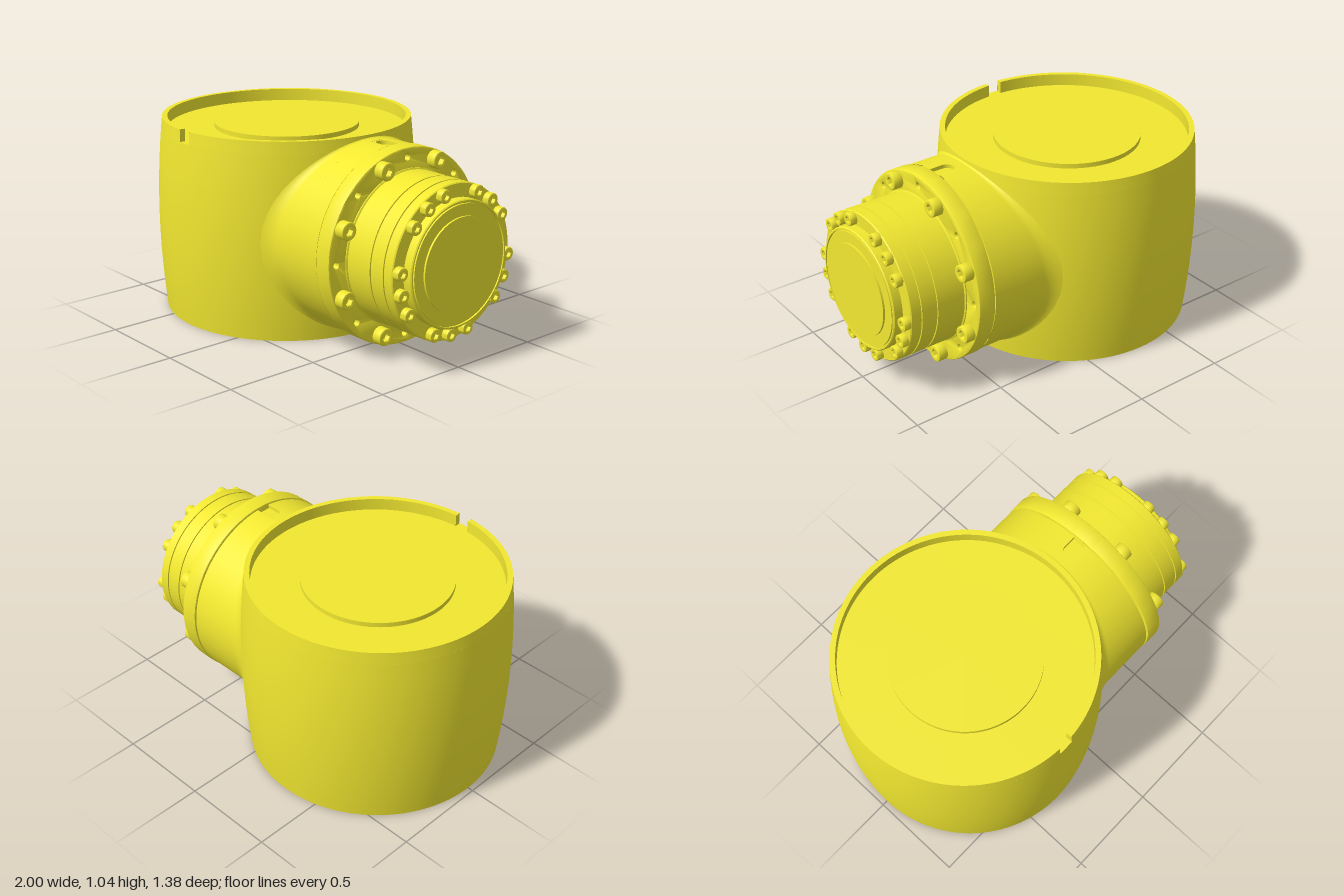
import * as THREE from 'three';
import { toCreasedNormals } from 'three/addons/utils/BufferGeometryUtils.js';
import { ParametricGeometry } from 'three/addons/geometries/ParametricGeometry.js';

const CX = -0.31, AY = 0.52, H = 1.04, FLOOR = 0.975, NECK = 0.5;
const material = new THREE.MeshStandardMaterial({ color: 0xf2e830, side: THREE.DoubleSide });

function add(parent, name, geometry, x = 0, y = 0, z = 0) {
  const mesh = new THREE.Mesh(geometry, material);
  mesh.name = name;
  mesh.position.set(x, y, z);
  parent.add(mesh);
  return mesh;
}

function lathe(points, start = 0, length = Math.PI * 2) {
  const profile = points.map(([r, h]) => new THREE.Vector2(r, h));
  return toCreasedNormals(new THREE.LatheGeometry(profile, 128, start, length), 0.5);
}

// Lathe whose axis runs along x
const latheX = (points) => lathe(points).rotateZ(-Math.PI / 2);

// Barrel radius at a given height
const barrelRadius = (y) => 0.66 + 0.03 * (1 - ((y - H / 2) / (H / 2)) ** 2);

function circleHole(x, y, r) {
  return new THREE.Path().absarc(x, y, r, 0, Math.PI * 2, true);
}

function makeBody() {
  const body = new THREE.Group();
  body.name = 'body';
  body.position.x = CX;

  // Barrel with a bore from below and a raised disc on top
  const profile = [[0, 0.93], [0.485, 0.93], [0.485, 0]];
  for (let i = 0; i <= 20; i++) {
    const y = (FLOOR * i) / 20;
    profile.push([barrelRadius(y), y]);
  }
  profile.push([0.385, FLOOR], [0.385, FLOOR + 0.025], [0, FLOOR + 0.025]);
  add(body, 'barrel', lathe(profile));

  // Rim, open at the front notch
  const gap = 0.0615;
  const rim = [[barrelRadius(FLOOR), FLOOR], [0.66, H], [0.632, H], [0.632, FLOOR]];
  add(body, 'rim', lathe(rim, gap, Math.PI * 2 - 2 * gap));
  for (const phi of [-gap, gap]) {
    const wall = add(body, 'notchWall', new THREE.PlaneGeometry(0.03, H - FLOOR),
      Math.sin(phi) * 0.647, (H + FLOOR) / 2, Math.cos(phi) * 0.647);
    wall.rotation.y = phi - Math.PI / 2;
  }
  return body;
}

function makeNeck() {
  const neck = new THREE.Group();
  neck.name = 'neck';
  neck.position.y = AY;

  // Saddle joint: a fillet from the barrel onto the neck, then straight to x = 0.4
  const onBarrel = (r, theta) => {
    const y = r * Math.cos(theta), z = r * Math.sin(theta);
    const R = barrelRadius(y + AY) - 0.003;
    return new THREE.Vector3(CX + Math.sqrt(R * R - z * z), y, z);
  };
  const saddle = new ParametricGeometry((u, v, target) => {
    const theta = u * Math.PI * 2;
    const fillet = 0.016 + 0.05 * Math.sin(theta) ** 2;
    const p0 = onBarrel(NECK + fillet, theta);
    const p1 = onBarrel(NECK, theta);
    const p2 = p1.clone();
    p2.x += fillet;
    if (v <= 0.6) {
      target.copy(new THREE.QuadraticBezierCurve3(p0, p1, p2).getPoint(v / 0.6));
    } else {
      target.copy(p2);
      target.x += (0.4 - p2.x) * (v - 0.6) / 0.4;
    }
  }, 128, 20);
  add(neck, 'saddleJoint', saddle);

  // Straight sleeve, open at the top for the slotted patch
  const g = 0.09;
  const sleeve = new THREE.CylinderGeometry(NECK, NECK, 0.12, 128, 1, true,
    -Math.PI / 2 + g, Math.PI * 2 - 2 * g).rotateZ(-Math.PI / 2);
  add(neck, 'sleeve', sleeve, 0.46);

  // Patch around the round-ended slot
  const w = NECK * Math.sin(g);
  const patch = new THREE.Shape();
  patch.moveTo(0.4, -w).lineTo(0.52, -w).lineTo(0.52, -0.038).lineTo(0.45, -0.038);
  patch.absarc(0.45, 0, 0.038, -Math.PI / 2, Math.PI / 2, true);
  patch.lineTo(0.52, 0.038).lineTo(0.52, w).lineTo(0.4, w);
  const patchGeometry = new THREE.ExtrudeGeometry(patch, { depth: 0.022, bevelEnabled: false, curveSegments: 16 });
  add(neck, 'slotSurround', patchGeometry.rotateX(-Math.PI / 2), 0, NECK * Math.cos(g) - 0.022);
  add(neck, 'slotFloor', new THREE.BoxGeometry(0.12, 0.01, 2 * w), 0.46, 0.473);

  // Core seen in the groove, with the end face of the sleeve
  add(neck, 'core', latheX([[0.47, 0.42], [0.47, 0.515], [0.495, 0.52], [0.485, 0.52], [0.485, 0.6]]));
  return neck;
}

// Flange ring drilled with eight holes
function makeFlange() {
  const b = 0.008;
  const shape = new THREE.Shape().absarc(0, 0, 0.505 - b, 0, Math.PI * 2);
  shape.holes.push(circleHole(0, 0, 0.3));
  for (let i = 0; i < 8; i++) {
    const a = (i * Math.PI) / 4;
    shape.holes.push(circleHole(0.455 * Math.cos(a), 0.455 * Math.sin(a), 0.023));
  }
  const geometry = new THREE.ExtrudeGeometry(shape, {
    depth: 0.095 - 2 * b, bevelSize: b, bevelThickness: b, bevelSegments: 2, curveSegments: 48,
  });
  return toCreasedNormals(geometry.translate(0, 0, b).rotateY(Math.PI / 2), 0.5);
}

// Socket-head bolt pointing along +x
function makeBolt(radius, height) {
  const bolt = new THREE.Group();
  bolt.name = 'bolt';
  const b = radius * 0.12;
  const head = new THREE.Shape().absarc(0, 0, radius - b, 0, Math.PI * 2);
  const socket = new THREE.Path();
  for (let i = 0; i <= 6; i++) {
    const a = (-i * Math.PI) / 3, r = radius * 0.52 + b;
    socket[i ? 'lineTo' : 'moveTo'](r * Math.cos(a), r * Math.sin(a));
  }
  head.holes.push(socket);
  const geometry = new THREE.ExtrudeGeometry(head, {
    depth: height - b, bevelSize: b, bevelThickness: b, bevelSegments: 2, curveSegments: 12,
  });
  add(bolt, 'boltHead', toCreasedNormals(geometry.rotateY(Math.PI / 2), 0.6));
  add(bolt, 'socketFloor', new THREE.CircleGeometry(radius * 0.8, 24).rotateY(Math.PI / 2), height * 0.45);
  return bolt;
}

// Place bolts on a circle; angles run from +z towards +y
function boltCircle(parent, x, circleRadius, angles, radius, height) {
  for (const degrees of angles) {
    const a = THREE.MathUtils.degToRad(degrees);
    const bolt = makeBolt(radius, height);
    bolt.position.set(x, AY + circleRadius * Math.sin(a), circleRadius * Math.cos(a));
    parent.add(bolt);
  }
}

export function createModel() {
  const model = new THREE.Group();
  model.name = 'jointHousing';
  model.add(makeBody(), makeNeck());

  const output = new THREE.Group();
  output.name = 'outputDrive';
  model.add(output);
  add(output, 'flange', makeFlange(), 0.528, AY);

  // Stepped drum with narrow seams
  const drum = [[0.4, 0.6], [0.4, 0.628], [0.392, 0.632]];
  for (const x of [0.79, 0.88]) {
    drum.push([0.392, x - 0.004], [0.386, x - 0.003], [0.386, x + 0.003], [0.392, x + 0.004]);
  }
  drum.push([0.392, 0.935], [0.387, 0.94], [0.32, 0.94], [0.32, 0.985], [0.315, 0.99],
    [0.308, 0.99], [0.308, 0.98], [0.3, 0.98], [0.3, 0.99], [0.24, 0.99], [0.24, 1.0], [0, 1.0]);
  add(output, 'drum', latheX(drum), 0, AY);

  // Eight flange bolts, and five groups of three on the drum
  const flangeAngles = Array.from({ length: 8 }, (_, i) => 22.5 + 45 * i);
  boltCircle(output, 0.623, 0.455, flangeAngles, 0.045, 0.052);
  const drumAngles = [];
  for (let i = 0; i < 5; i++) drumAngles.push(...[-18, 0, 18].map((d) => 58 + 72 * i + d));
  boltCircle(output, 0.94, 0.358, drumAngles, 0.034, 0.036);
  return model;
}
